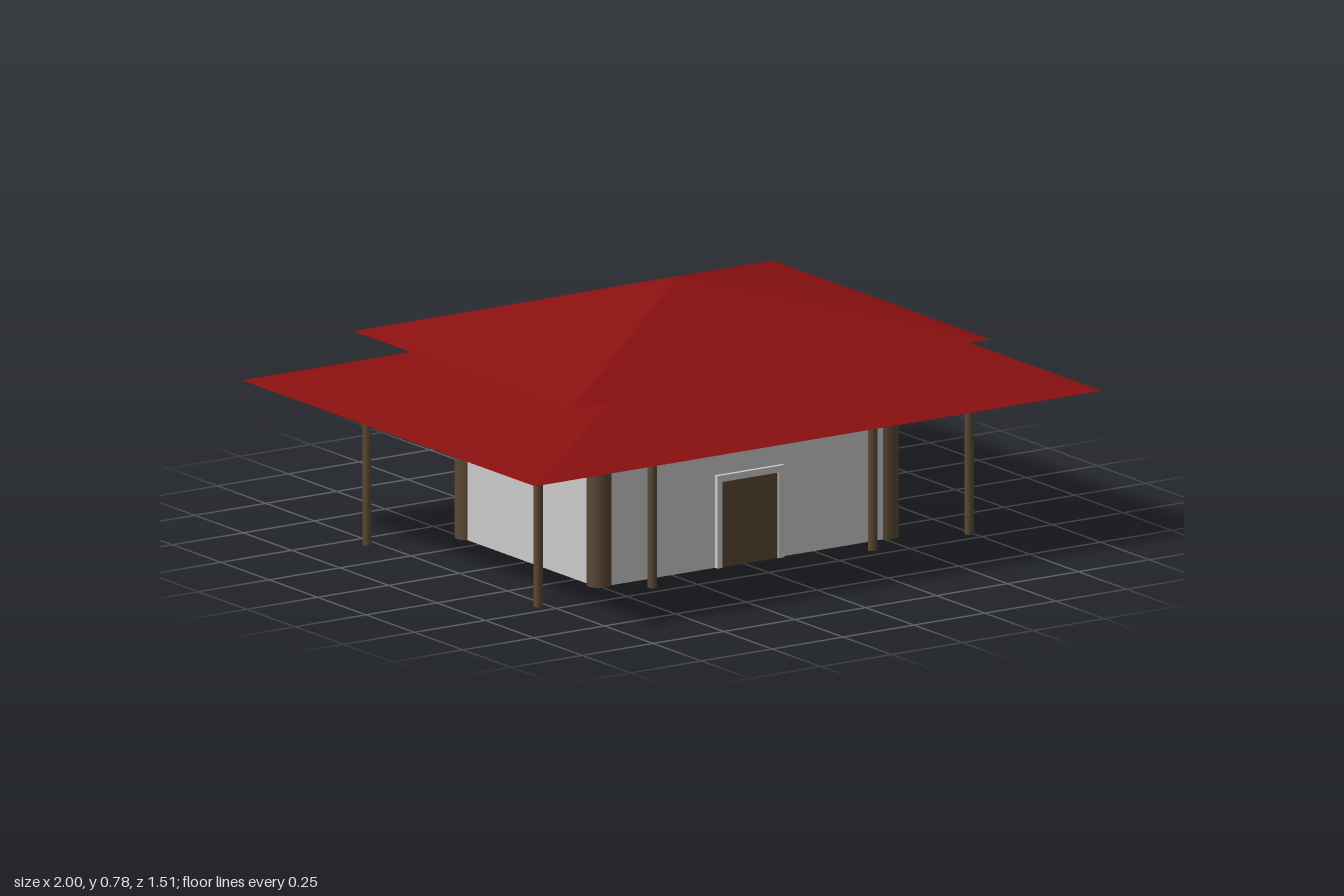
import * as THREE from 'three';

const mat = (color) => new THREE.MeshStandardMaterial({ color });
const GREY = mat(0xcccccc), RED = mat(0x8b1010), WOOD = mat(0x5a4834), GOLD = mat(0xb39028);
const CX = 0.02; // the building sits slightly off the centre of the eaves

export function createModel() {
  const model = new THREE.Group();

  const add = (name, geometry, material) => {
    const mesh = new THREE.Mesh(geometry, material);
    mesh.name = name;
    model.add(mesh);
    return mesh;
  };
  // Box from its minimum and maximum corners
  const box = (name, [x0, y0, z0], [x1, y1, z1], material) =>
    add(name, new THREE.BoxGeometry(x1 - x0, y1 - y0, z1 - z0), material)
      .position.set((x0 + x1) / 2, (y0 + y1) / 2, (z0 + z1) / 2);
  const post = (name, x, z, r, height, sides) =>
    add(name, new THREE.CylinderGeometry(r, r, height, sides), WOOD)
      .position.set(x, height / 2, z);
  // Four-sided roof with a flat underside and its peak moved to CX
  const roof = (name, halfX, halfZ, y0, y1) => {
    const g = new THREE.ConeGeometry(Math.SQRT2, y1 - y0, 4)
      .rotateY(Math.PI / 4).scale(halfX, 1, halfZ).toNonIndexed();
    const p = g.attributes.position;
    for (let i = 0; i < p.count; i++) if (p.getY(i) > 0) p.setX(i, CX);
    g.computeVertexNormals();
    add(name, g, RED).position.y = (y0 + y1) / 2;
  };

  // Main hall and the raised storey between the roofs
  box('walls', [-0.51, 0, -0.365], [0.548, 0.45, 0.365], GREY);
  box('upperWalls', [-0.37, 0.45, -0.26], [0.41, 0.615, 0.26], GREY);

  roof('lowerRoof', 1, 0.757, 0.457, 0.633);
  roof('upperRoof', 0.74, 0.563, 0.608, 0.783);

  // Thick corner columns
  for (const x of [-0.49, 0.522])
    for (const z of [-0.341, 0.341]) post('cornerColumn', x, z, 0.037, 0.457, 24);

  // Slim veranda posts in a front row and a back row
  for (const x of [-0.78, -0.377, 0.4, 0.74])
    for (const z of [-0.433, 0.451]) post('verandaPost', x, z, 0.014, 0.457, 16);

  // Door with its frame
  box('door', [-0.08, 0, 0.35], [0.118, 0.258, 0.373], WOOD);
  box('doorFrameRight', [-0.098, 0, 0.35], [-0.08, 0.278, 0.378], GREY);
  box('doorFrameLeft', [0.118, 0, 0.35], [0.138, 0.278, 0.378], GREY);
  box('doorFrameTop', [-0.08, 0.258, 0.35], [0.118, 0.278, 0.378], GREY);

  // Wide panel on the back wall
  box('backPanel', [-0.42, 0.15, -0.376], [0.42, 0.36, -0.35], GOLD);

  return model;
}
